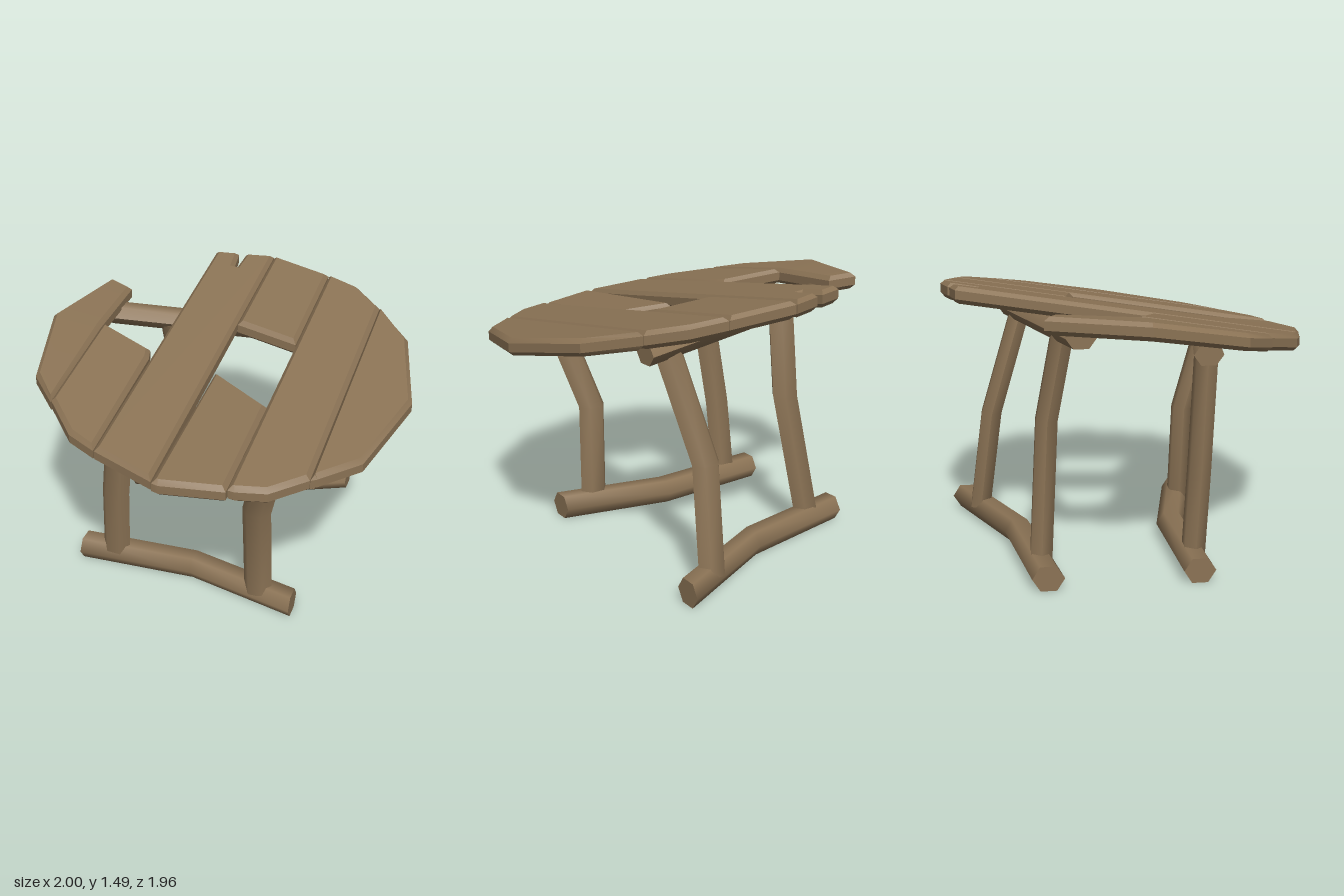
import * as THREE from 'three';
import { toCreasedNormals } from 'three/addons/utils/BufferGeometryUtils.js';

const wood = new THREE.MeshStandardMaterial({ color: 0x8b7355 });
wood.name = 'weathered wood';

// Height of the tilted table top
const topY = (x, z) => 1.315 - 0.09 * x - 0.16 * z;

function addMesh(group, name, geometry, crease) {
  const mesh = new THREE.Mesh(toCreasedNormals(geometry, crease), wood);
  mesh.name = name;
  group.add(mesh);
}

// Bevelled board cut from an [x, z] outline and laid on the tilted plane
function plank(group, name, outline, sag = () => 0) {
  const bevel = 0.022, depth = 0.045;
  const shape = new THREE.Shape(outline.map(([x, z]) => new THREE.Vector2(x, -z)));
  const geo = new THREE.ExtrudeGeometry(shape, {
    depth, bevelEnabled: true, bevelSegments: 1,
    bevelSize: bevel, bevelThickness: bevel, bevelOffset: -bevel,
  });
  geo.rotateX(-Math.PI / 2).translate(0, -depth - bevel, 0);
  const p = geo.attributes.position;
  for (let i = 0; i < p.count; i++) {
    const x = p.getX(i), z = p.getZ(i);
    p.setY(i, p.getY(i) + topY(x, z) - sag(x, z));
  }
  addMesh(group, name, geo, 0.4);
}

// Six-sided beam swept through a few points, with capped ends
function beam(group, name, points, offset) {
  const sides = 6, pos = [], idx = [];
  for (const [x, y, z] of points) {
    for (let k = 0; k < sides; k++) {
      const a = (k / sides) * Math.PI * 2;
      const [ox, oy, oz] = offset(Math.cos(a), Math.sin(a));
      pos.push(x + ox, y + oy, z + oz);
    }
  }
  const last = (points.length - 1) * sides;
  for (let r = 0; r < last; r += sides) {
    for (let k = 0; k < sides; k++) {
      const a = r + k, b = r + ((k + 1) % sides);
      idx.push(a, a + sides, b, b, a + sides, b + sides);
    }
  }
  for (let k = 1; k < sides - 1; k++) {
    idx.push(0, k, k + 1, last, last + k + 1, last + k);
  }
  const geo = new THREE.BufferGeometry();
  geo.setAttribute('position', new THREE.Float32BufferAttribute(pos, 3));
  geo.setIndex(idx);
  addMesh(group, name, geo, 1.15);
}

const legSection = (c, s) => [c * 0.08, 0, s * 0.064];
const runnerSection = (c, s) => [0, s * 0.076, c * 0.083];
const barSection = (c, s) => [0, s * 0.06, c * 0.075];

export function createModel() {
  const model = new THREE.Group();
  model.name = 'brokenTable';

  // Round top made of planks, some snapped
  const top = new THREE.Group();
  top.name = 'tableTop';
  plank(top, 'leftPlank',
    [[-0.87, -0.49], [-0.725, -0.44], [-0.72, 0], [-0.715, 0.64], [-0.87, 0.49], [-1, 0]],
    (x, z) => (z < 0 ? -0.1 * z : 0));
  plank(top, 'leftFrontStub',
    [[-0.715, -0.03], [-0.4, 0.08], [-0.38, 0.15], [-0.375, 0.88], [-0.53, 0.82], [-0.715, 0.63]]);
  plank(top, 'longPlank',
    [[-0.37, -0.9], [-0.24, -0.93], [-0.225, -0.8], [-0.21, -0.8], [-0.2, -0.94], [-0.04, -0.98],
      [-0.04, 0.97], [-0.37, 0.88]]);
  plank(top, 'middleBackStub', [[-0.035, -0.98], [0.31, -0.92], [0.31, -0.25], [-0.035, -0.3]]);
  plank(top, 'middleFrontStub',
    [[-0.035, 0.07], [0.3, 0.23], [0.31, 0.9], [0, 0.98], [-0.035, 0.975]],
    (x, z) => 0.055 * (1 - z));
  plank(top, 'rightPlank',
    [[0.315, -0.92], [0.5, -0.87], [0.66, -0.73], [0.66, 0.69], [0.5, 0.845], [0.35, 0.89], [0.315, 0.89]]);
  plank(top, 'outerRightPlank',
    [[0.662, -0.73], [0.87, -0.51], [1, -0.02], [0.87, 0.49], [0.69, 0.67], [0.662, 0.69]]);
  model.add(top);

  // Bars supporting the planks
  const barPoint = (x, z) => [x, topY(x, z) - 0.14, z];
  beam(model, 'frontBar', [barPoint(-0.78, 0.31), barPoint(0.57, 0.56)], barSection);
  beam(model, 'backBar', [barPoint(-0.78, -0.31), barPoint(0.57, -0.6)], barSection);

  // Bent floor runners
  beam(model, 'frontRunner',
    [[-0.77, 0.066, 0.29], [-0.1, 0.066, 0.255], [0.52, 0.066, 0.39]], runnerSection);
  beam(model, 'backRunner',
    [[-0.77, 0.066, -0.485], [-0.1, 0.066, -0.6], [0.52, 0.066, -0.89]], runnerSection);

  // Crooked legs
  beam(model, 'frontRightLeg', [[-0.57, 0.08, 0.29], [-0.54, 0.52, 0.32], [-0.455, 1.14, 0.365]], legSection);
  beam(model, 'frontLeftLeg', [[0.315, 0.08, 0.365], [0.305, 0.64, 0.385], [0.41, 1.05, 0.525]], legSection);
  beam(model, 'backRightLeg', [[-0.56, 0.08, -0.51], [-0.42, 0.8, -0.46], [-0.445, 1.25, -0.375]], legSection);
  beam(model, 'backLeftLeg', [[0.315, 0.08, -0.81], [0.305, 0.65, -0.73], [0.41, 1.2, -0.555]], legSection);

  return model;
}
